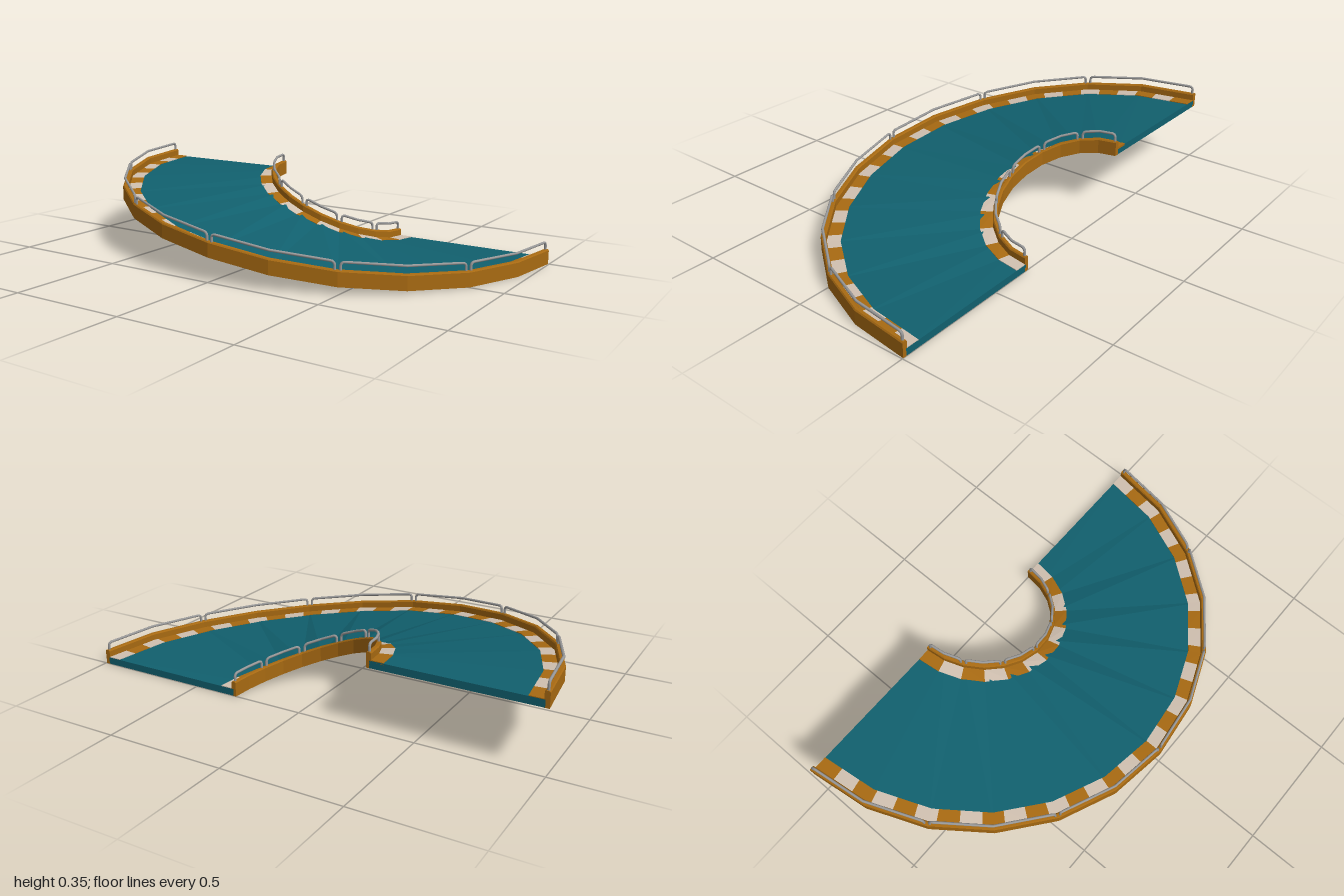
import * as THREE from 'three';

const STEP = Math.PI / 12; // the bend is a half ring of 12 straight segments
const R_IN = 0.3, R_OUT = 0.996, Z0 = -0.5;
// base height at each segment joint: the outer edge climbs later than the inner one
const OUTER = [0, 0, 0, 0.01, 0.03, 0.061, 0.098, 0.133, 0.167, 0.2, 0.228, 0.247, 0.255];
const INNER = OUTER.map((_, i) => 0.1275 * (1 - Math.cos(i * STEP)));

const mat = (color) => new THREE.MeshStandardMaterial({ color, flatShading: true });
const teal = mat(0x11606e), amber = mat(0xa86a12), cream = mat(0xd0c0b0);
const steel = new THREE.MeshStandardMaterial({ color: 0x999999 });

// point on the ramp at angle a, radius r, dy above the underside
function at(a, r, dy) {
  const i = Math.min(11, Math.floor(a / STEP + 1e-6));
  const t = a / STEP - i;
  const joint = (k) => {
    const h = THREE.MathUtils.lerp(INNER[k], OUTER[k], (r - R_IN) / (R_OUT - R_IN));
    return new THREE.Vector3(r * Math.cos(k * STEP), h + dy, Z0 + r * Math.sin(k * STEP));
  };
  return joint(i).lerp(joint(i + 1), t);
}

// angles from a0 to a1, including every segment joint between them
function angles(a0, a1) {
  const list = [a0];
  for (let k = 0; k <= 12; k++) {
    if (k * STEP > a0 + 1e-4 && k * STEP < a1 - 1e-4) list.push(k * STEP);
  }
  return [...list, a1];
}

// sweep a closed convex profile of [radius, height] (counter-clockwise) along the bend
function sweep(name, profile, material, a0 = 0, a1 = Math.PI) {
  const pos = [];
  const tri = (...pts) => pts.forEach((p) => pos.push(p.x, p.y, p.z));
  const rings = angles(a0, a1).map((a) => profile.map(([r, y]) => at(a, r, y)));
  const n = profile.length;
  for (let s = 0; s < rings.length - 1; s++) {
    const A = rings[s], B = rings[s + 1];
    for (let j = 0; j < n; j++) {
      const k = (j + 1) % n;
      tri(A[j], A[k], B[k]);
      tri(A[j], B[k], B[j]);
    }
  }
  const first = rings[0], last = rings[rings.length - 1];
  for (let j = 1; j < n - 1; j++) {
    tri(first[0], first[j + 1], first[j]);
    tri(last[0], last[j], last[j + 1]);
  }
  const geo = new THREE.BufferGeometry();
  geo.setAttribute('position', new THREE.Float32BufferAttribute(pos, 3));
  geo.computeVertexNormals();
  const mesh = new THREE.Mesh(geo, material);
  mesh.name = name;
  return mesh;
}

const box = (r0, r1, y0, y1) => [[r0, y0], [r1, y0], [r1, y1], [r0, y1]];

// side wall with a small bevel along its top
const wallProfile = (r0, r1) => [
  [r0, 0], [r1, 0], [r1, 0.058], [r1 - 0.004, 0.063], [r0 + 0.004, 0.063], [r0, 0.058],
];

// alternating painted kerb blocks
function kerb(name, r0, r1, count) {
  const group = new THREE.Group();
  group.name = name;
  const w = Math.PI / count;
  for (let i = 0; i < count; i++) {
    group.add(sweep('kerbBlock', box(r0, r1, 0.024, 0.033), i % 2 ? amber : cream, i * w, (i + 1) * w));
  }
  return group;
}

// six bent-tube handrails standing on a wall
function handrails(name, r) {
  const group = new THREE.Group();
  group.name = name;
  for (let i = 0; i < 6; i++) {
    const a0 = i * 2 * STEP + 0.011 / r, a1 = (i + 1) * 2 * STEP - 0.011 / r;
    const c = 0.012 / r, top = 0.094;
    const pts = [
      at(a0, r, 0.055), at(a0, r, top - 0.012), at(a0 + c * 0.3, r, top - 0.004), at(a0 + c, r, top),
      at((a0 + a1) / 2, r, top),
      at(a1 - c, r, top), at(a1 - c * 0.3, r, top - 0.004), at(a1, r, top - 0.012), at(a1, r, 0.055),
    ];
    const path = new THREE.CurvePath();
    for (let j = 0; j < pts.length - 1; j++) path.add(new THREE.LineCurve3(pts[j], pts[j + 1]));
    const rail = new THREE.Mesh(new THREE.TubeGeometry(path, 64, 0.0055, 8), steel);
    rail.name = 'handrail';
    group.add(rail);
  }
  return group;
}

export function createModel() {
  const model = new THREE.Group();
  model.name = 'curvedRamp';
  model.add(
    sweep('deck', box(0.312, 0.98, 0.0005, 0.03), teal),
    sweep('outerWall', wallProfile(0.975, R_OUT), amber),
    sweep('innerWall', wallProfile(R_IN, 0.32), amber),
    kerb('outerKerb', 0.92, 0.977, 34),
    kerb('innerKerb', 0.318, 0.372, 12),
    handrails('outerHandrails', 0.986),
    handrails('innerHandrails', 0.31),
  );
  return model;
}
